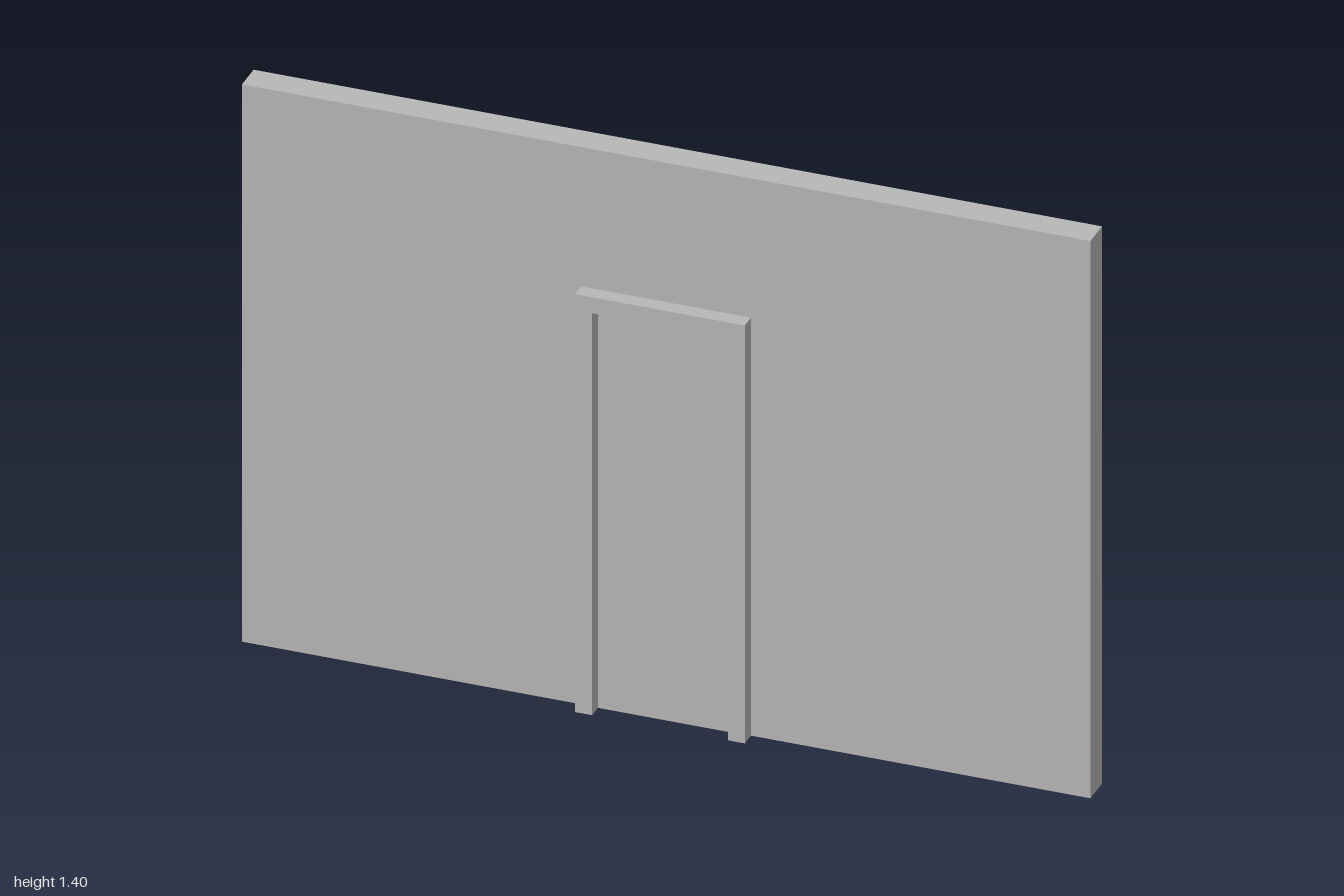
import * as THREE from 'three';

export function createModel() {
  const model = new THREE.Group();
  model.name = 'wallWithDoorway';
  const plaster = new THREE.MeshStandardMaterial({ color: 0xb8b8b8 });
  plaster.name = 'plain grey';

  const back = -0.055, wallFront = 0.017, frameFront = 0.055;

  // Box given by its width, bottom, top, back and front
  const addSlab = (name, width, y0, y1, z0, z1) => {
    const mesh = new THREE.Mesh(new THREE.BoxGeometry(width, y1 - y0, z1 - z0), plaster);
    mesh.position.set(0, (y0 + y1) / 2, (z0 + z1) / 2);
    mesh.name = name;
    model.add(mesh);
  };

  addSlab('wall', 2, 0, 1.4, back, wallFront);

  // Thin door panel inside the frame
  addSlab('doorPanel', 0.32, 0, 1.01, wallFront, wallFront + 0.002);

  // Door frame: one upside-down U, open at the floor
  const outer = 0.2, inner = 0.16, top = 1.05, lintel = 1.01;
  const outline = new THREE.Shape([
    [-outer, 0], [-inner, 0], [-inner, lintel], [inner, lintel],
    [inner, 0], [outer, 0], [outer, top], [-outer, top],
  ].map(([x, y]) => new THREE.Vector2(x, y)));
  const frame = new THREE.Mesh(
    new THREE.ExtrudeGeometry(outline, { depth: frameFront - wallFront, bevelEnabled: false }),
    plaster,
  );
  frame.position.z = wallFront;
  frame.name = 'doorFrame';
  model.add(frame);

  return model;
}
